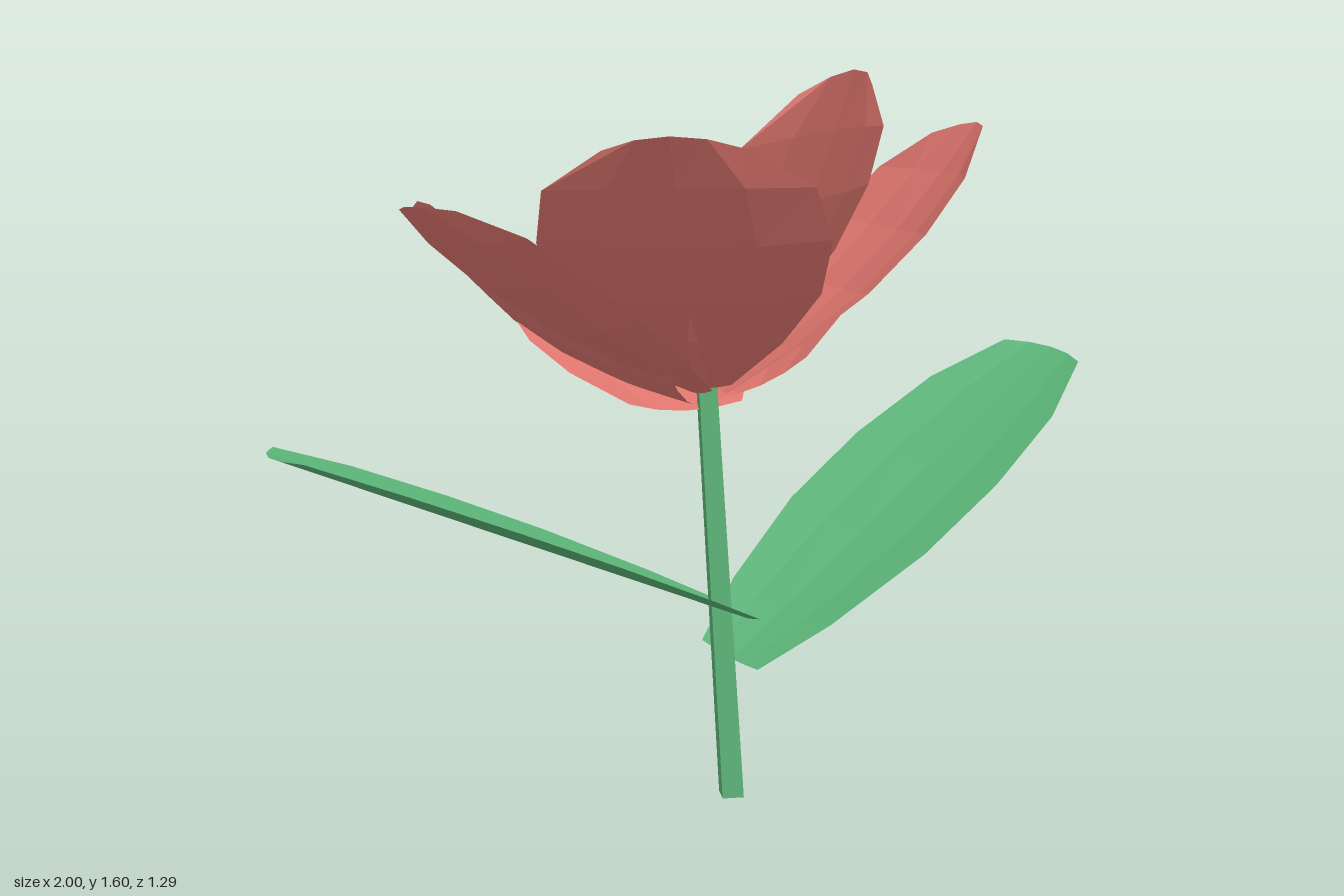
import * as THREE from 'three';

const V = (a) => new THREE.Vector3(...a);

// Cupped blade: rows of points between base and tip, width set by a profile of [t, width]
function bladeGeometry({ base, tip, side, half, bow, cup, profile, round }) {
  const b = V(base), axis = V(tip).sub(b), dir = axis.clone().normalize();
  const s = V(side);
  s.addScaledVector(dir, -s.dot(dir)).normalize();
  const up = new THREE.Vector3().crossVectors(s, dir);
  if (up.y < 0) { up.negate(); s.negate(); }
  const cols = [-1, -0.5, 0, 0.5, 1];
  const pos = [], idx = [];
  profile.forEach(([t, w]) => {
    cols.forEach((u) => {
      const along = t - round * u * u * t * t;
      const lift = cup * u * u * w - bow * Math.sin(Math.PI * t);
      const p = b.clone().addScaledVector(axis, along)
        .addScaledVector(s, u * w * half).addScaledVector(up, lift);
      pos.push(p.x, p.y, p.z);
    });
  });
  const n = cols.length;
  for (let r = 0; r < profile.length - 1; r++) {
    for (let c = 0; c < n - 1; c++) {
      const a = r * n + c, d = a + n;
      idx.push(a, a + 1, d, a + 1, d + 1, d);
    }
  }
  const g = new THREE.BufferGeometry();
  g.setAttribute('position', new THREE.Float32BufferAttribute(pos, 3));
  g.setIndex(idx);
  const flat = g.toNonIndexed();
  flat.computeVertexNormals();
  return flat;
}

const narrow = [[0, 0.22], [0.2, 0.62], [0.42, 0.91], [0.64, 1], [0.84, 0.9], [1, 0.46]];
const broad = [[0, 0.5], [0.2, 0.82], [0.42, 0.98], [0.64, 1], [0.84, 0.84], [1, 0.44]];
const leafProfile = [[0, 0.42], [0.15, 0.72], [0.38, 0.97], [0.6, 1], [0.82, 0.86], [1, 0.52]];

const petals = [
  { name: 'frontPetal', base: [-0.02, 0.93, 0.17], tip: [0.1, 1.6, 0.55], side: [0.46, 0.06, -0.2], half: 0.26, bow: 0.035, profile: narrow },
  { name: 'frontRightPetal', base: [-0.05, 0.93, 0.17], tip: [-0.32, 1.48, 0.63], side: [0.57, -0.08, 0.22], half: 0.29, bow: 0.035, profile: narrow },
  { name: 'leftPetal', base: [0, 0.92, 0.17], tip: [0.58, 1.49, 0.24], side: [0, 0.1, 1], half: 0.25, bow: 0.04, profile: narrow },
  { name: 'rightPetal', base: [-0.06, 0.92, 0.17], tip: [-0.71, 1.34, 0.24], side: [0, 0.2, 1], half: 0.24, bow: 0.035, profile: narrow },
  { name: 'backLeftPetal', base: [0.08, 0.93, 0.19], tip: [0.42, 1.36, -0.41], side: [0.3, 0.22, 0.28], half: 0.26, bow: 0.075, profile: broad },
  { name: 'backRightPetal', base: [-0.11, 0.93, 0.18], tip: [-0.5, 1.26, -0.45], side: [0.34, -0.32, -0.2], half: 0.265, bow: 0.06, profile: broad },
  { name: 'backOuterPetal', base: [-0.08, 0.88, 0.15], tip: [-0.04, 1.14, -0.64], side: [1, -0.02, 0], half: 0.26, bow: 0.03, profile: broad },
  { name: 'backInnerPetal', base: [-0.03, 0.94, 0.18], tip: [0.06, 1.25, -0.43], side: [1, 0, 0.08], half: 0.235, bow: 0.035, profile: narrow },
];

const leaves = [
  { name: 'leftLeaf', base: [0.03, 0.31, 0.155], tip: [1.0, 0.93, -0.05], side: [0.06, -0.1, 0.44], half: 0.225 },
  { name: 'rightLeaf', base: [0.03, 0.42, 0.19], tip: [-0.99, 0.87, 0.24], side: [0, 0.05, 1], half: 0.215 },
];

export function createModel() {
  const petalPink = new THREE.MeshStandardMaterial({ color: 0xe0766f, side: THREE.DoubleSide });
  petalPink.name = 'petalPink';
  const leafGreen = new THREE.MeshStandardMaterial({ color: 0x5bb377, side: THREE.DoubleSide });
  leafGreen.name = 'leafGreen';
  const pollenGold = new THREE.MeshStandardMaterial({ color: 0xd2b055 });
  pollenGold.name = 'pollenGold';

  const model = new THREE.Group();
  model.name = 'flower';
  const add = (parent, geometry, material, name) => {
    const mesh = new THREE.Mesh(geometry, material);
    mesh.name = name;
    parent.add(mesh);
    return mesh;
  };

  // leaning square stem, sheared so the foot stays flat on the ground
  const stem = new THREE.CylinderGeometry(0.028, 0.034, 0.95, 4, 1, false, Math.PI / 6).toNonIndexed();
  stem.translate(0, 0.475, 0);
  const p = stem.attributes.position;
  for (let i = 0; i < p.count; i++) {
    const t = p.getY(i) / 0.95;
    p.setX(i, p.getX(i) + 0.02 - 0.05 * t);
    p.setZ(i, p.getZ(i) + 0.18 - 0.03 * t);
  }
  stem.computeVertexNormals();
  add(model, stem, leafGreen, 'stem');

  // pair of leaves
  for (const leaf of leaves) {
    add(model, bladeGeometry({ ...leaf, bow: 0, cup: 0.03, round: 0.03, profile: leafProfile }), leafGreen, leaf.name);
  }

  // bloom of overlapping petals
  const bloom = new THREE.Group();
  bloom.name = 'bloom';
  model.add(bloom);
  for (const petal of petals) {
    add(bloom, bladeGeometry({ ...petal, cup: 0.04, round: 0.07 }), petalPink, petal.name);
  }

  // faceted flower centre
  const centre = add(bloom, new THREE.IcosahedronGeometry(0.088, 1), pollenGold, 'flowerCentre');
  centre.geometry.computeVertexNormals();
  centre.position.set(-0.045, 1.03, 0.1);

  return model;
}
